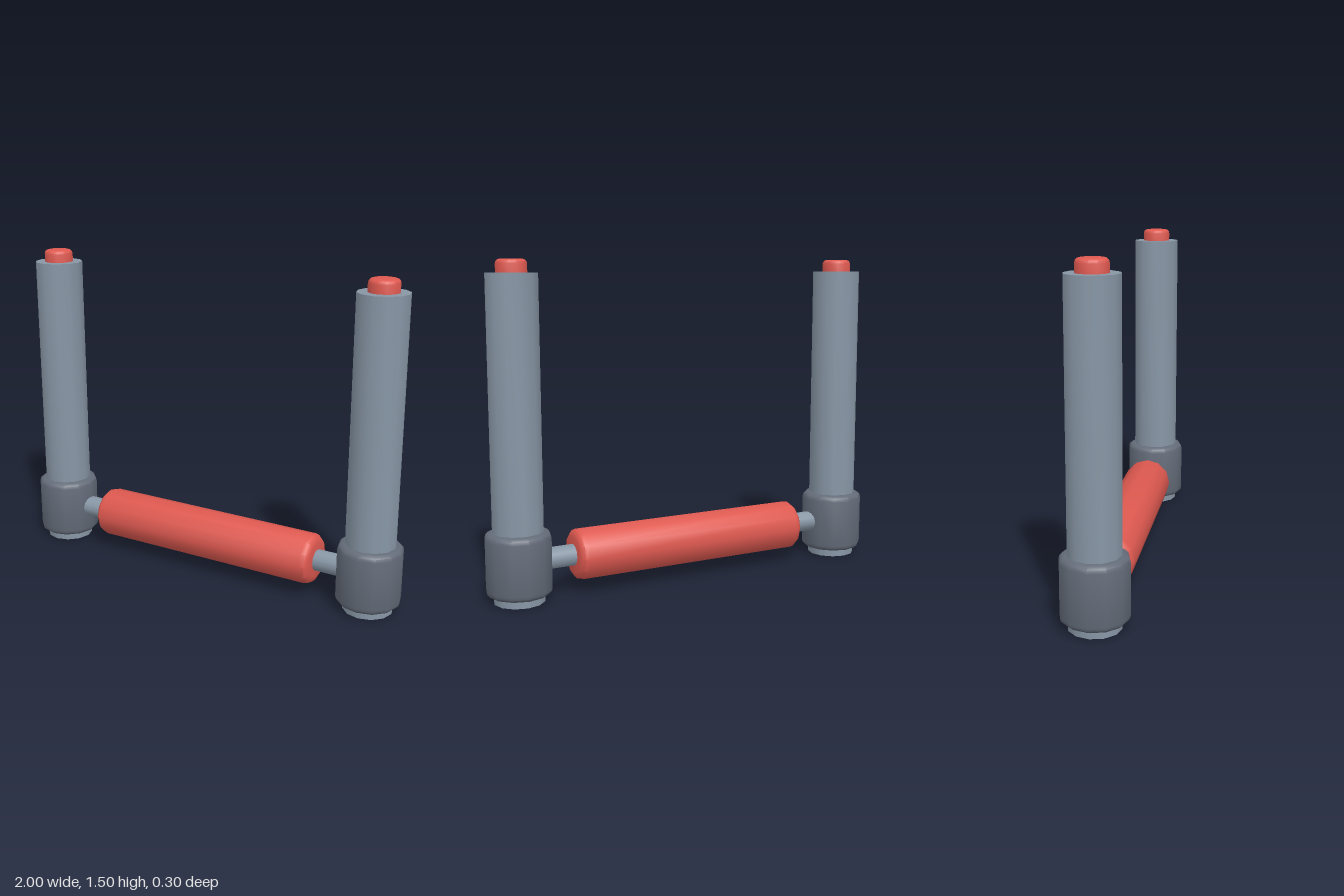
import * as THREE from 'three';
import { toCreasedNormals } from 'three/addons/utils/BufferGeometryUtils.js';

const SIDES = 12;

// Solid of revolution from y0 to y1 with rounded ends (bevel 0 = sharp)
function turned(radius, y0, y1, bevelBottom = 0, bevelTop = 0) {
  const points = [new THREE.Vector2(0, y0)];
  const corner = (bevel, y, top) => {
    if (!bevel) return points.push(new THREE.Vector2(radius, y));
    for (let i = 0; i <= 3; i++) {
      const a = ((top ? i : 3 - i) / 3) * Math.PI / 2;
      const rise = bevel * (1 - Math.sin(a));
      points.push(new THREE.Vector2(radius - bevel * (1 - Math.cos(a)), top ? y - rise : y + rise));
    }
  };
  corner(bevelBottom, y0, false);
  corner(bevelTop, y1, true);
  points.push(new THREE.Vector2(0, y1));
  return toCreasedNormals(new THREE.LatheGeometry(points, SIDES), 0.6);
}

export function createModel() {
  const steel = new THREE.MeshStandardMaterial({ color: 0x8796a5 });
  steel.name = 'steel';
  const darkGrey = new THREE.MeshStandardMaterial({ color: 0x636b78 });
  darkGrey.name = 'darkGrey';
  const red = new THREE.MeshStandardMaterial({ color: 0xde5950 });
  red.name = 'red';

  const model = new THREE.Group();
  model.name = 'handleFrame';
  const add = (parent, name, geometry, material) => {
    const mesh = new THREE.Mesh(geometry, material);
    mesh.name = name;
    parent.add(mesh);
  };

  // Two upright posts, each with a collar and a button on top
  const post = turned(0.115, 0, 1.447);
  const collar = turned(0.149, 0.032, 0.32, 0.03, 0.03);
  const button = turned(0.069, 1.42, 1.505, 0, 0.02);
  for (const [side, x] of [['left', 0.851], ['right', -0.851]]) {
    const upright = new THREE.Group();
    upright.name = side + 'Upright';
    upright.position.x = x;
    add(upright, side + 'Post', post, steel);
    add(upright, side + 'Collar', collar, darkGrey);
    add(upright, side + 'Button', button, red);
    model.add(upright);
  }

  // Horizontal grip on its rod
  const handle = new THREE.Group();
  handle.name = 'handle';
  handle.position.y = 0.177;
  handle.rotation.z = Math.PI / 2;
  add(handle, 'rod', turned(0.05, -0.76, 0.76), steel);
  add(handle, 'grip', turned(0.119, -0.592, 0.592, 0.034, 0.034), red);
  model.add(handle);

  return model;
}
